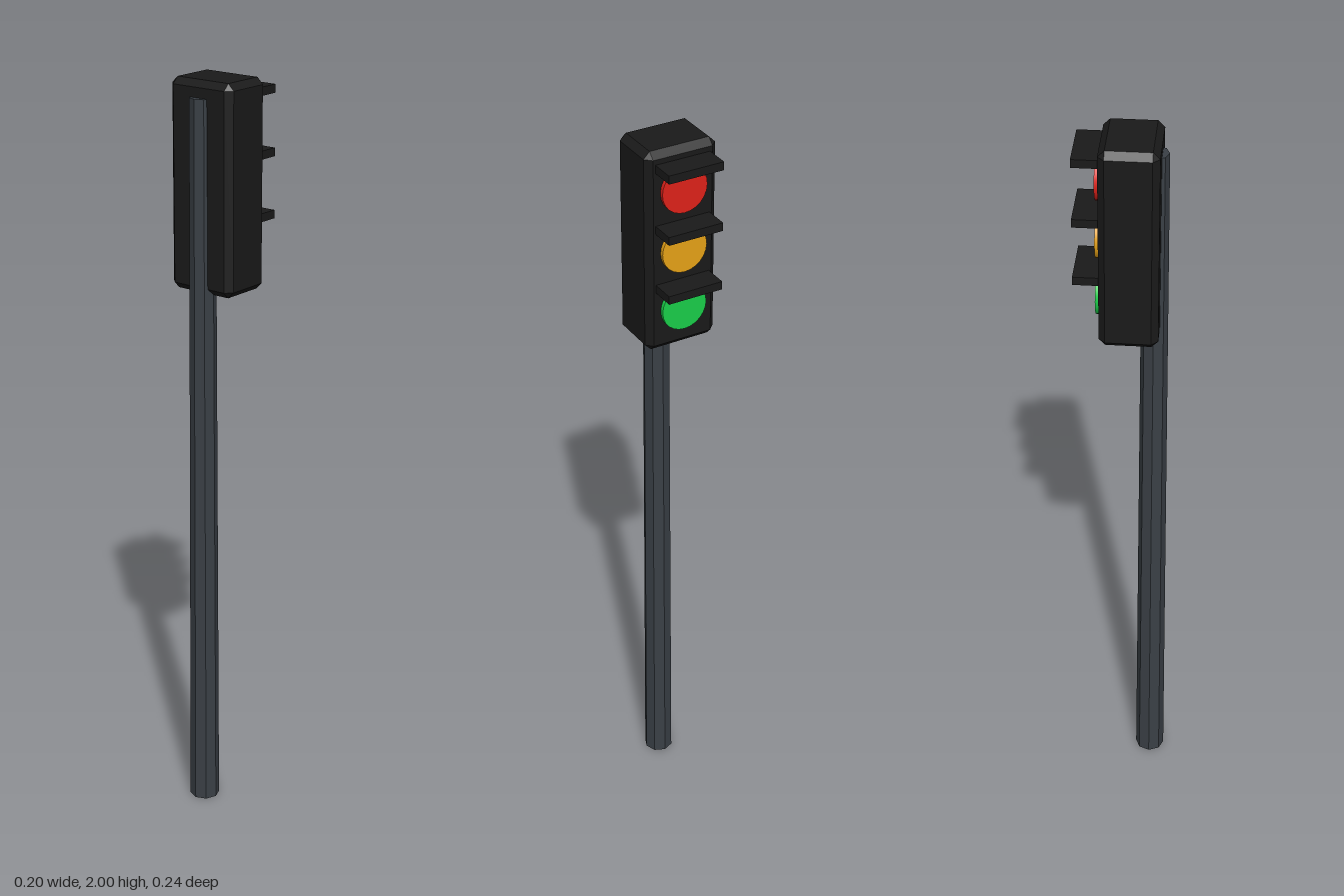
import * as THREE from 'three';
import { ConvexGeometry } from 'three/addons/geometries/ConvexGeometry.js';

function material(name, color) {
  const m = new THREE.MeshStandardMaterial({ color });
  m.name = name;
  return m;
}

// Box with every edge cut by a flat chamfer
function chamferedBox(w, h, d, c) {
  const points = [];
  for (const x of [-w / 2, w / 2])
    for (const y of [-h / 2, h / 2])
      for (const z of [-d / 2, d / 2]) {
        const ix = x - Math.sign(x) * c, iy = y - Math.sign(y) * c, iz = z - Math.sign(z) * c;
        points.push(
          new THREE.Vector3(x, iy, iz),
          new THREE.Vector3(ix, y, iz),
          new THREE.Vector3(ix, iy, z)
        );
      }
  return new ConvexGeometry(points);
}

export function createModel() {
  const group = new THREE.Group();
  group.name = 'trafficLight';

  const black = material('housing black', 0x1a1a1a);
  const steel = material('pole grey', 0x3a4046);
  steel.flatShading = true;
  const lampColors = [
    ['red', material('lamp red', 0xe0221a)],
    ['amber', material('lamp amber', 0xe8a317)],
    ['green', material('lamp green', 0x1ad04a)],
  ];

  function add(name, geometry, mat, x, y, z) {
    const mesh = new THREE.Mesh(geometry, mat);
    mesh.name = name;
    mesh.position.set(x, y, z);
    group.add(mesh);
  }

  // Tapered octagonal pole, partly sunk into the rear of the housing
  add('pole', new THREE.CylinderGeometry(0.033, 0.04, 1.957, 8), steel, 0, 0.9785, 0.079);

  // Signal housing
  add('housing', chamferedBox(0.196, 0.544, 0.149, 0.017), black, 0, 1.728, 0.02);

  // Three lamps facing -z, each under a flat visor
  const lampGeometry = new THREE.CylinderGeometry(0.062, 0.062, 0.02, 24).rotateX(Math.PI / 2);
  const visorGeometry = new THREE.BoxGeometry(0.15, 0.022, 0.07);
  lampColors.forEach(([name, mat], i) => {
    const y = 1.892 - i * 0.162;
    add(name + 'Lamp', lampGeometry, mat, 0, y, -0.055);
    add(name + 'Visor', visorGeometry, black, 0, y + 0.067, -0.084);
  });

  return group;
}
